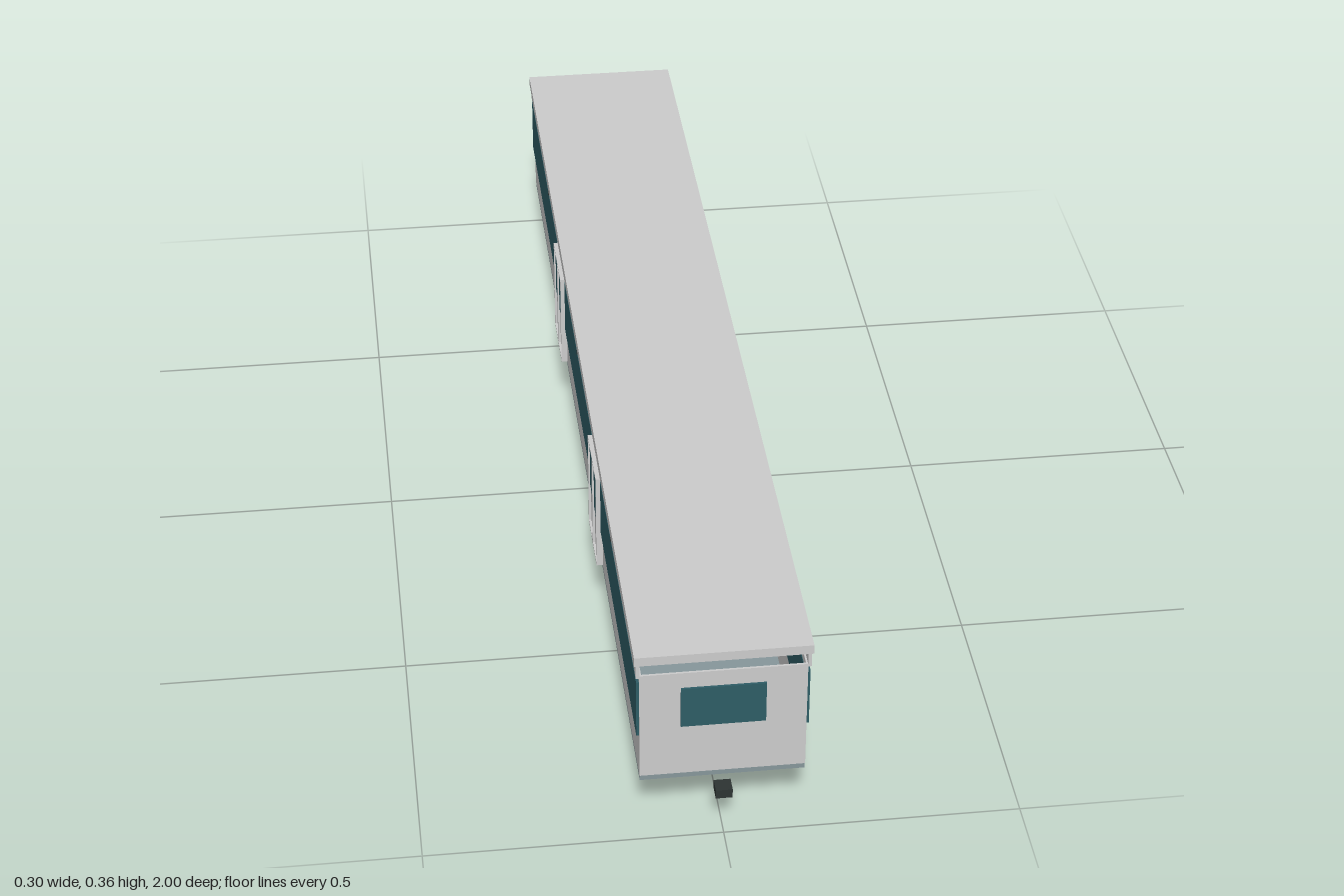
import * as THREE from 'three';

const mat = (name, color) => {
  const m = new THREE.MeshStandardMaterial({ color });
  m.name = name;
  return m;
};

export function createModel() {
  const body = mat('body grey', 0xcccccc);
  const glass = mat('window teal', 0x2e5d66);
  const slate = mat('floor slate', 0x87979b);
  const dark = mat('chassis dark', 0x2d3433);
  const rubber = mat('tyre rubber', 0x1f2625);
  const metal = mat('wheel metal', 0xb4b9ba);

  const model = new THREE.Group();
  model.name = 'railCarriage';

  // Box given by its lower and upper limits on each axis
  function box(name, material, [x0, x1], [y0, y1], [z0, z1], parent = model) {
    const mesh = new THREE.Mesh(new THREE.BoxGeometry(x1 - x0, y1 - y0, z1 - z0), material);
    mesh.position.set((x0 + x1) / 2, (y0 + y1) / 2, (z0 + z1) / 2);
    mesh.name = name;
    parent.add(mesh);
    return mesh;
  }
  // Limits mirrored to either side of zero
  const side = (s, a, b) => (s > 0 ? [a, b] : [-b, -a]);

  // Floor, roof and underframe
  box('floor', slate, [-0.137, 0.137], [0.105, 0.116], [-0.974, 0.974]);
  box('roof', body, [-0.146, 0.146], [0.346, 0.363], [-0.977, 0.977]);
  box('underframe', dark, [-0.07, 0.07], [0.068, 0.087], [-0.93, 0.93]);

  // Two-leaf sliding door, protruding slightly from the side wall
  function door(s, z) {
    const g = new THREE.Group();
    g.name = 'door';
    model.add(g);
    box('doorPanel', body, side(s, 0.136, 0.1445), [0.118, 0.306], [z - 0.069, z + 0.069], g);
    for (const leaf of [-1, 1]) {
      const c = z + leaf * 0.0345;
      box('doorWindow', glass, side(s, 0.144, 0.146), [0.2, 0.303], [c - 0.032, c + 0.032], g);
      for (const edge of [-1, 1]) {
        const e = c + edge * 0.0325;
        box('doorStile', body, side(s, 0.144, 0.149), [0.118, 0.306], [e - 0.002, e + 0.002], g);
      }
      for (const y of [0.118, 0.302])
        box('doorRail', body, side(s, 0.144, 0.149), [y, y + 0.004], [c - 0.0345, c + 0.0345], g);
    }
  }

  // Side walls with window bands, fascia and doors; the shell is open below the roof
  for (const s of [-1, 1]) {
    box('sideWall', body, side(s, 0.134, 0.1375), [0.115, 0.324], [-0.975, 0.975]);
    box('roofFascia', body, side(s, 0.137, 0.143), [0.319, 0.347], [-0.975, 0.975]);
    for (const [a, b] of [[-0.971, -0.41], [-0.252, 0.252], [0.41, 0.971]])
      box('sideWindow', glass, side(s, 0.133, 0.142), [0.198, 0.308], [a, b]);
    for (const z of [-0.332, 0.332]) door(s, z);
    // Small brackets above the window band
    for (const z of [-0.585, 0, 0.585])
      box('windowBracket', dark, side(s, 0.137, 0.143), [0.308, 0.319], [z - 0.002, z + 0.002]);
  }

  // End walls, end windows and couplers
  for (const s of [-1, 1]) {
    box('endWall', body, [-0.1375, 0.1375], [0.115, 0.324], side(s, 0.971, 0.975));
    box('endWindow', glass, [-0.07, 0.07], [0.216, 0.294], side(s, 0.969, 0.979));
    box('coupler', dark, [-0.014, 0.014], [0.075, 0.092], side(s, 0.973, 1));
  }

  // Wheel parts, shared; axis along y until turned onto x
  const tyreProfile = [
    [0.027, -0.009], [0.033, -0.012], [0.038, -0.011], [0.041, -0.006], [0.0418, 0],
    [0.041, 0.006], [0.038, 0.011], [0.033, 0.012], [0.027, 0.009], [0.027, -0.009],
  ].map(([r, y]) => new THREE.Vector2(r, y));
  const tyreGeo = new THREE.LatheGeometry(tyreProfile, 40);
  const discGeo = new THREE.CylinderGeometry(0.0275, 0.0275, 0.01, 32);
  const rimGeo = new THREE.TorusGeometry(0.0255, 0.0026, 8, 36).rotateX(Math.PI / 2);
  const hubGeo = new THREE.CylinderGeometry(0.008, 0.009, 0.019, 20);
  const spokeGeo = new THREE.BoxGeometry(0.02, 0.016, 0.008).translate(0.015, 0, 0);

  function wheel(x, z) {
    const g = new THREE.Group();
    g.name = 'wheel';
    const add = (name, geo, material) => {
      const m = new THREE.Mesh(geo, material);
      m.name = name;
      g.add(m);
      return m;
    };
    add('tyre', tyreGeo, rubber);
    add('wheelDisc', discGeo, dark);
    add('hub', hubGeo, metal);
    for (const y of [-0.008, 0.008]) add('rim', rimGeo, metal).position.y = y;
    for (let i = 0; i < 6; i++) add('spoke', spokeGeo, metal).rotation.y = (i * Math.PI) / 3;
    g.rotation.z = -Math.PI / 2;
    g.position.set(x, 0.0418, z);
    model.add(g);
  }

  // Bogies, each with two axles
  for (const s of [-1, 1]) {
    box('bogie', dark, [-0.07, 0.07], [0.047, 0.066], side(s, 0.48, 0.72));
    box('bogiePivot', dark, [-0.03, 0.03], [0.064, 0.07], side(s, 0.56, 0.64));
    for (const z of [0.527, 0.674]) {
      for (const x of [-0.083, 0.083]) wheel(x, s * z);
      const axle = new THREE.Mesh(new THREE.CylinderGeometry(0.006, 0.006, 0.16, 16), dark);
      axle.name = 'axle';
      axle.rotation.z = Math.PI / 2;
      axle.position.set(0, 0.0418, s * z);
      model.add(axle);
    }
  }

  return model;
}
